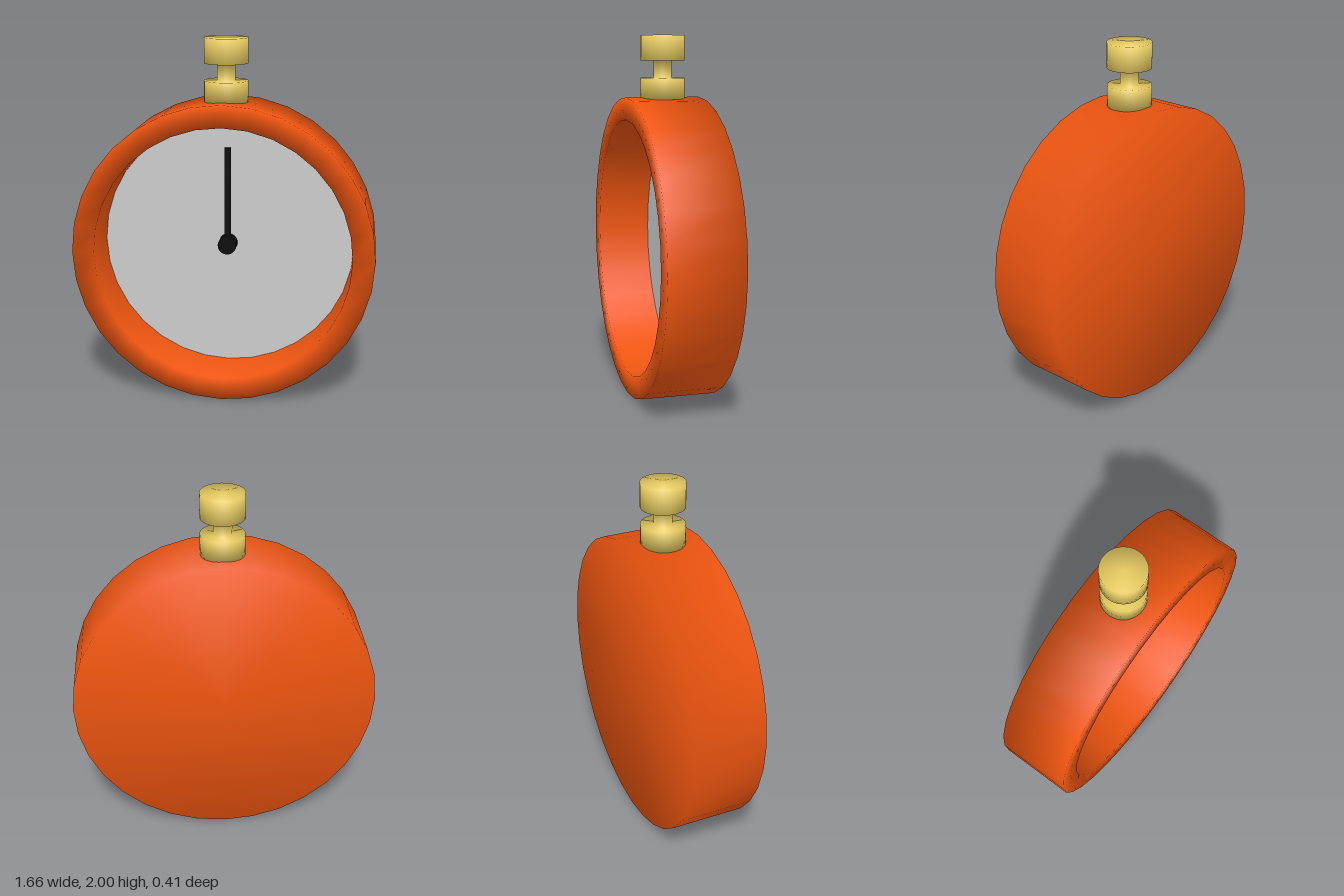
import * as THREE from 'three';

const ORANGE = 0xee5510, GOLD = 0xe4c960, BLACK = 0x0a0a0a, GREY = 0xcccccc;
const SIDES = 32;
const CENTRE_Y = 0.833; // height of the dial centre

function part(name, geometry, color) {
  const mesh = new THREE.Mesh(geometry, new THREE.MeshStandardMaterial({ color }));
  mesh.name = name;
  return mesh;
}

// Smooth turned solid from [radius, height] pairs, listed bottom to top
function turned(points) {
  return new THREE.LatheGeometry(points.map(([r, h]) => new THREE.Vector2(r, h)), SIDES);
}

export function createModel() {
  const model = new THREE.Group();
  model.name = 'stopwatch';

  // Everything on the dial shares one centre, facing +z
  const watch = new THREE.Group();
  watch.name = 'watch';
  watch.position.y = CENTRE_Y;
  model.add(watch);

  // Case: closed back, straight side, flat rim and deep recess
  const body = turned([[0, -0.205], [0.832, -0.205], [0.832, 0.205], [0.71, 0.205], [0.71, -0.1]]);
  watch.add(part('case', body.rotateX(Math.PI / 2), ORANGE));

  // Dial at the bottom of the recess
  const dial = part('dial', new THREE.CircleGeometry(0.71, SIDES), GREY);
  dial.position.z = -0.1;
  watch.add(dial);

  // Hub and hand pointing to the top
  const hub = part('hub', new THREE.CylinderGeometry(0.052, 0.052, 0.075, SIDES).rotateX(Math.PI / 2), BLACK);
  hub.position.z = -0.0625;
  watch.add(hub);
  const hand = part('hand', new THREE.BoxGeometry(0.036, 0.553, 0.01), BLACK);
  hand.position.set(0, 0.2765, -0.068);
  watch.add(hand);

  // Crown: collar, thin neck and push button in one turned piece
  model.add(part('crown', turned([
    [0, 1.655], [0.12, 1.655], [0.12, 1.77], [0.05, 1.77],
    [0.05, 1.863], [0.12, 1.863], [0.12, 2], [0, 2],
  ]), GOLD));

  return model;
}
